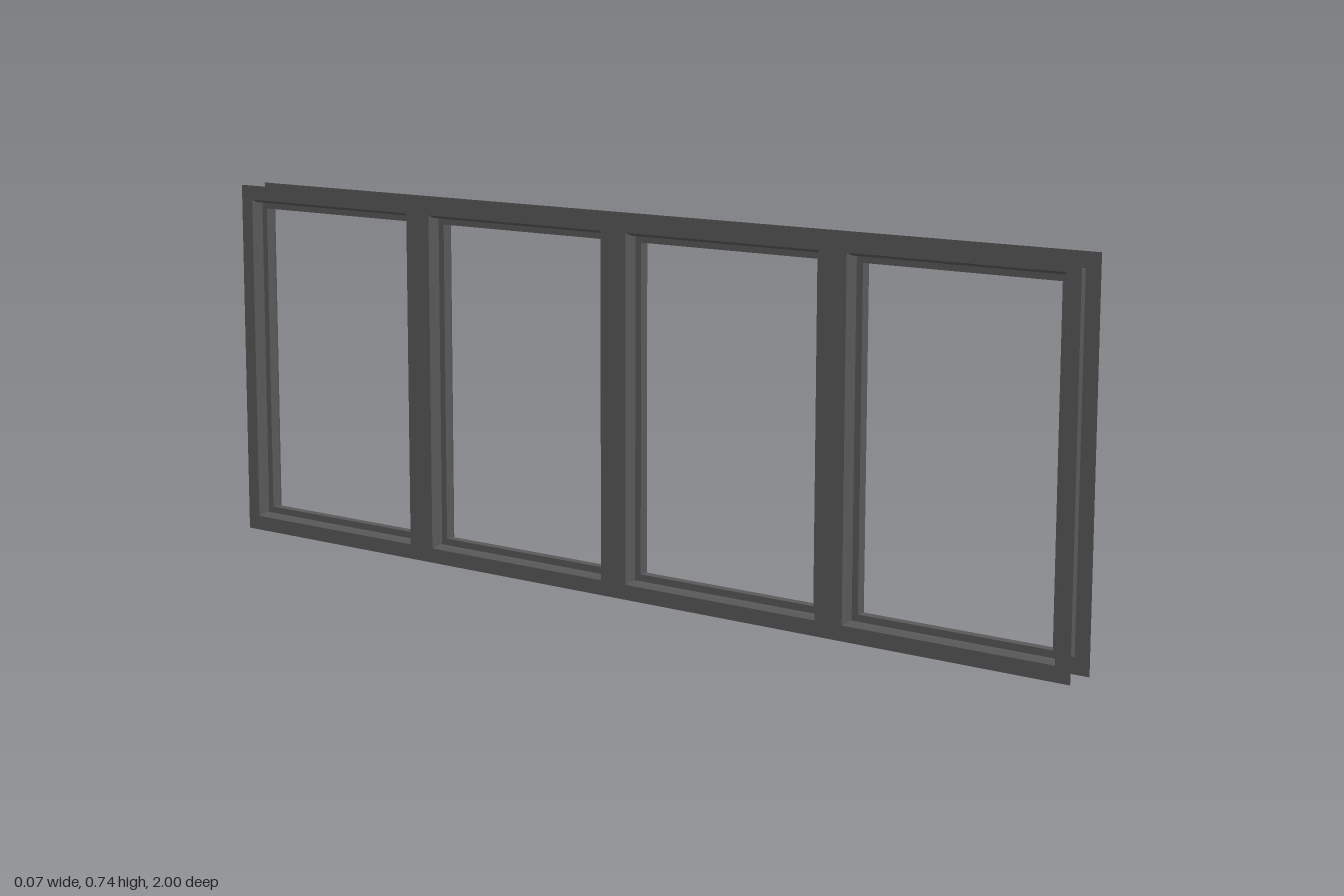
import * as THREE from 'three';

const HALF_DEPTH = 0.033, HEIGHT = 0.735, EDGE = 0.0295;
const PANE_CENTRES = [-0.75, -0.25, 0.25, 0.75];
const PANE_HALF_WIDTH = 0.22;

// Reveal section: [depth, inset from the opening edge]
const REVEAL = [[0.033, 0], [0.024, 0.0055], [0.0095, 0.0055], [0.0095, 0.019],
  [-0.0095, 0.019], [-0.0095, 0.0055], [-0.024, 0.0055], [-0.033, 0]];

// Flat face plate with four rectangular openings
function plateGeometry() {
  const rect = (target, x0, y0, x1, y1) =>
    target.moveTo(x0, y0).lineTo(x1, y0).lineTo(x1, y1).lineTo(x0, y1).closePath();
  const shape = rect(new THREE.Shape(), -1, 0, 1, HEIGHT);
  for (const c of PANE_CENTRES) {
    shape.holes.push(rect(new THREE.Path(), c - PANE_HALF_WIDTH, EDGE, c + PANE_HALF_WIDTH, HEIGHT - EDGE));
  }
  return new THREE.ShapeGeometry(shape);
}

// Mitred stepped lining swept round one opening
function revealGeometry() {
  const loop = ([x, inset]) => {
    const w = PANE_HALF_WIDTH - inset, y0 = EDGE + inset, y1 = HEIGHT - EDGE - inset;
    return [[x, y0, w], [x, y0, -w], [x, y1, -w], [x, y1, w]];
  };
  const positions = [];
  for (let i = 0; i < REVEAL.length - 1; i++) {
    const near = loop(REVEAL[i]), far = loop(REVEAL[i + 1]);
    for (let k = 0; k < 4; k++) {
      const n = (k + 1) % 4;
      positions.push(...near[k], ...near[n], ...far[n], ...near[k], ...far[n], ...far[k]);
    }
  }
  const geometry = new THREE.BufferGeometry();
  geometry.setAttribute('position', new THREE.Float32BufferAttribute(positions, 3));
  geometry.computeVertexNormals();
  return geometry;
}

export function createModel() {
  const group = new THREE.Group();
  group.name = 'windowFrame';
  const metal = new THREE.MeshStandardMaterial({ color: 0x5a595a, side: THREE.DoubleSide });
  metal.name = 'dark grey metal';

  // Face plates on both sides
  const plate = plateGeometry();
  for (const side of [1, -1]) {
    const mesh = new THREE.Mesh(plate, metal);
    mesh.name = side > 0 ? 'leftFacePlate' : 'rightFacePlate';
    mesh.rotation.y = side * Math.PI / 2;
    mesh.position.x = side * HALF_DEPTH;
    group.add(mesh);
  }

  // Linings of the four openings
  const reveal = revealGeometry();
  PANE_CENTRES.forEach((z, i) => {
    const mesh = new THREE.Mesh(reveal, metal);
    mesh.name = `openingLining${i + 1}`;
    mesh.position.z = z;
    group.add(mesh);
  });
  return group;
}
